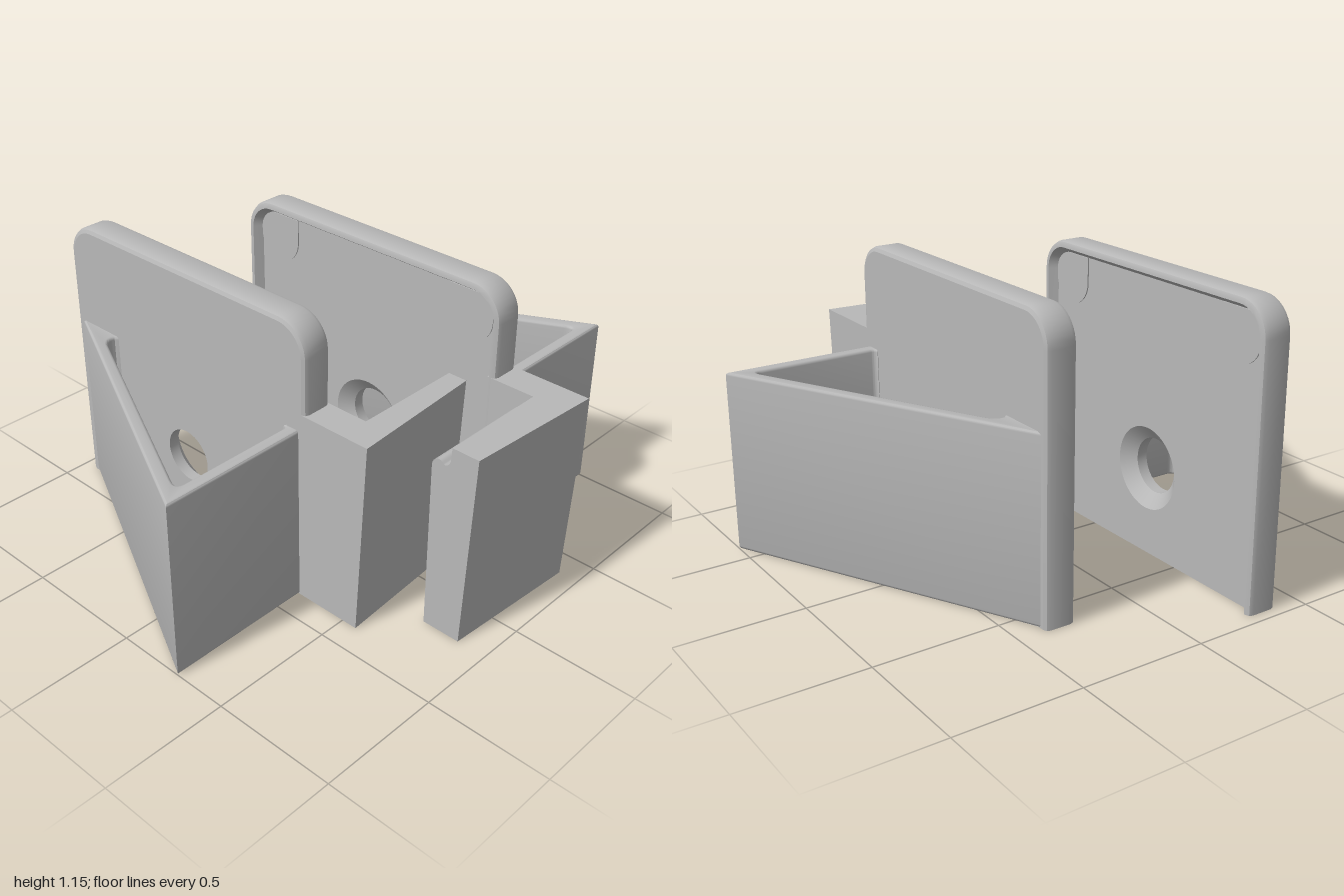
import * as THREE from 'three';
import { toCreasedNormals } from 'three/addons/utils/BufferGeometryUtils.js';

const HALF = 0.635, HEIGHT = 1.15, RADIUS = 0.13;   // plate half length, height, corner radius
const INNER = 0.265, FLOOR = 0.3, OUTER = 0.39;     // x of rim, recess floor and outer face
const HOLE_Y = 0.35;

const grey = new THREE.MeshStandardMaterial({ color: 0xb8b8b8, side: THREE.DoubleSide });
grey.name = 'grey plastic';

// Mirrors a geometry and keeps its faces pointing outwards
function mirrored(source, sx, sz) {
  const g = source.index ? source.toNonIndexed() : source.clone();
  g.scale(sx, 1, sz);
  for (const a of Object.values(g.attributes)) {
    const n = a.itemSize;
    for (let i = 0; i < a.array.length; i += 3 * n) {
      for (let k = 0; k < n; k++) {
        const t = a.array[i + n + k];
        a.array[i + n + k] = a.array[i + 2 * n + k];
        a.array[i + 2 * n + k] = t;
      }
    }
  }
  return g;
}

// Plate outline in (z, y), moved inwards by d
function outline(d) {
  const pts = [[-HALF + d, 0]], r = RADIUS - d, n = 10;
  for (const s of [-1, 1]) {
    for (let i = 0; i <= n; i++) {
      const a = (s < 0 ? Math.PI : Math.PI / 2) - (i / n) * Math.PI / 2;
      pts.push([s * (HALF - RADIUS) + Math.cos(a) * r, HEIGHT - RADIUS + Math.sin(a) * r]);
    }
  }
  pts.push([HALF - d, 0]);
  return pts;
}

// Rounded edge, rim and sloped recess wall, lofted from insets [d, x]
const SECTIONS = [[0.02, OUTER], [0.006, 0.384], [0, 0.37], [0, 0.285], [0.006, 0.271],
  [0.02, INNER], [0.027, INNER], [0.05, FLOOR]];

function rimGeometry() {
  const pos = [], index = [], n = outline(0).length;
  for (const [d, x] of SECTIONS) for (const [z, y] of outline(d)) pos.push(x, y, z);
  for (let s = 0; s < SECTIONS.length - 1; s++) {
    for (let i = 0; i < n - 1; i++) {
      const a = s * n + i, b = a + 1, c = a + n, e = c + 1;
      index.push(a, c, b, b, c, e);
    }
  }
  const g = new THREE.BufferGeometry();
  g.setAttribute('position', new THREE.Float32BufferAttribute(pos, 3));
  g.setIndex(index);
  return g;
}

// Flat plate face with the screw hole, facing -x
function faceGeometry(d, radius) {
  const shape = new THREE.Shape(outline(d).map(p => new THREE.Vector2(...p)));
  shape.holes.push(new THREE.Path().absarc(0, HOLE_Y, radius, 0, Math.PI * 2, true));
  return new THREE.ShapeGeometry(shape, 24).rotateY(-Math.PI / 2);
}

// Underside of the plate, following the rim section at both ends
function bottomGeometry() {
  const back = SECTIONS.map(([d, x]) => new THREE.Vector2(x, -HALF + d));
  const front = SECTIONS.map(([d, x]) => new THREE.Vector2(x, HALF - d)).reverse();
  return new THREE.ShapeGeometry(new THREE.Shape([...back, ...front])).rotateX(Math.PI / 2);
}

function holeGeometry() {
  const profile = [[0.165, FLOOR], [0.11, 0.345], [0.11, OUTER]].map(p => new THREE.Vector2(...p));
  return new THREE.LatheGeometry(profile, 48).rotateZ(-Math.PI / 2).translate(0, HOLE_Y, 0);
}

// Thin corner pad at the back of the recess
function padGeometry() {
  const zc = -HALF + 0.15, s = new THREE.Shape();
  s.moveTo(zc + 0.1, 1.1);
  s.lineTo(zc + 0.1, 1);
  s.absarc(zc, 1, 0.1, 0, Math.PI, true);
  s.absarc(-HALF + RADIUS, HEIGHT - RADIUS, 0.08, Math.PI, Math.PI / 2, true);
  return new THREE.ExtrudeGeometry(s, { depth: 0.005, bevelEnabled: false, curveSegments: 16 })
    .rotateY(-Math.PI / 2).translate(FLOOR, 0, 0);
}

// Front wall and slanted wall of the triangular brace, open at top and bottom
function braceGeometry() {
  const s = new THREE.Shape(), b = 0.012;
  s.moveTo(0.38, 0.61);
  s.lineTo(0.39, 0.6);
  s.lineTo(1, -0.6);
  s.lineTo(0.38, -0.6);
  s.lineTo(0.38, -0.53);
  s.lineTo(0.392, -0.53);
  s.quadraticCurveTo(0.395, -0.548, 0.415, -0.548);
  s.lineTo(0.875, -0.548);
  s.quadraticCurveTo(0.915, -0.548, 0.892, -0.505);
  s.lineTo(0.458, 0.36);
  s.quadraticCurveTo(0.435, 0.405, 0.4, 0.395);
  s.lineTo(0.38, 0.37);
  return new THREE.ExtrudeGeometry(s, {
    depth: 0.73 - 2 * b, bevelThickness: b, bevelSize: b, bevelOffset: -b, bevelSegments: 3, curveSegments: 8,
  }).rotateX(-Math.PI / 2).translate(0, b, 0);
}

// Leans the front of the hook: it tapers to the tip and towards the bottom
function taper(g, front) {
  const p = g.attributes.position;
  for (let i = 0; i < p.count; i++) {
    if (p.getZ(i) > 0.9) p.setZ(i, front - (OUTER - p.getX(i)) * 0.065 - (0.8 - p.getY(i)) * 0.045);
  }
  return g;
}

function armGeometry(front) {
  return taper(new THREE.BoxGeometry(0.125, 0.8, 0.35).translate(0.3275, 0.4, 0.775), front);
}

// Tongue with a wavy lowered step along its back
function tongueGeometry(front) {
  const s = new THREE.Shape();
  s.moveTo(0.72, 0);
  s.lineTo(0.95, 0);
  s.lineTo(0.95, 0.8);
  s.lineTo(0.803, 0.8);
  s.lineTo(0.8, 0.745);
  s.bezierCurveTo(0.79, 0.715, 0.775, 0.715, 0.765, 0.725);
  s.bezierCurveTo(0.75, 0.74, 0.725, 0.73, 0.72, 0.7);
  const g = new THREE.ExtrudeGeometry(s, { depth: 0.455, bevelEnabled: false, curveSegments: 8 });
  return taper(g.rotateY(-Math.PI / 2).translate(INNER, 0, 0), front);
}

function bracket(name, side, shift, front) {
  const group = new THREE.Group();
  group.name = name;
  const add = (part, g) => {
    const smooth = toCreasedNormals(g, 0.6);
    const mesh = new THREE.Mesh(side < 0 ? mirrored(smooth, -1, 1) : smooth, grey);
    mesh.name = part;
    group.add(mesh);
  };
  add('plateRim', rimGeometry());
  add('plateInnerFace', faceGeometry(0.05, 0.165).translate(FLOOR, 0, 0));
  add('plateOuterFace', mirrored(faceGeometry(0.02, 0.11), -1, 1).translate(OUTER, 0, 0));
  add('plateUnderside', bottomGeometry());
  add('screwHole', holeGeometry());
  add('backPad', padGeometry());
  add('frontPad', mirrored(padGeometry(), 1, -1));
  add('triangularBrace', braceGeometry());
  add('hookArm', armGeometry(front));
  add('hookTongue', tongueGeometry(front));
  group.position.z = shift;
  return group;
}

export function createModel() {
  const model = new THREE.Group();
  model.name = 'interlockingBrackets';
  model.add(bracket('leftBracket', 1, 0, 0.953));
  model.add(bracket('rightBracket', -1, -0.32, 0.92));
  return model;
}
